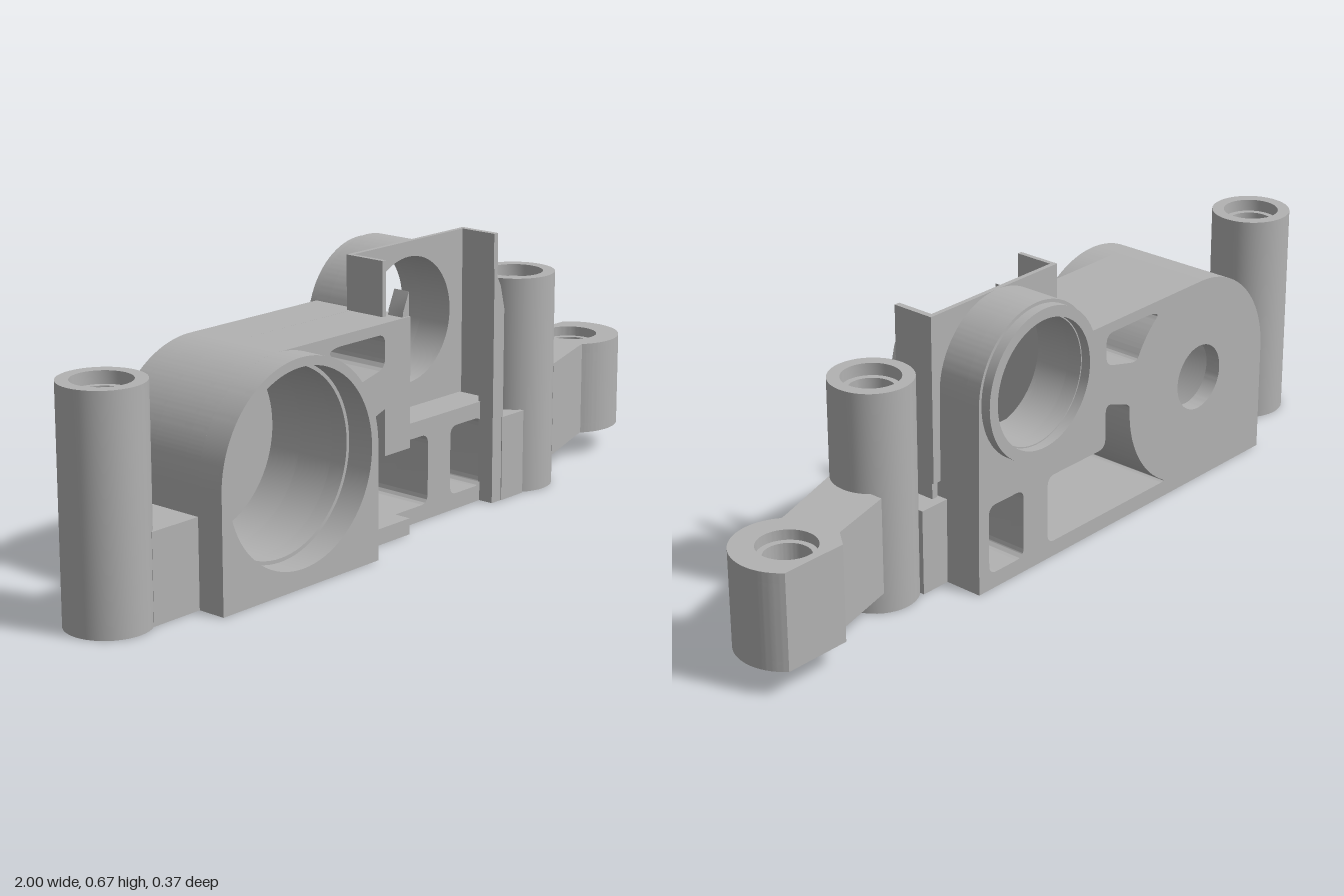
import * as THREE from 'three';
import { toCreasedNormals } from 'three/addons/utils/BufferGeometryUtils.js';

export function createModel() {
  const model = new THREE.Group();
  model.name = 'bracket';
  const grey = new THREE.MeshStandardMaterial({ color: 0xb2b2b2 });
  grey.name = 'grey plastic';

  const add = (name, geometry) => {
    const mesh = new THREE.Mesh(toCreasedNormals(geometry, 0.5), grey);
    mesh.name = name;
    model.add(mesh);
    return mesh;
  };
  const box = (name, x0, x1, y0, y1, z0, z1) => {
    const g = new THREE.BoxGeometry(x1 - x0, y1 - y0, z1 - z0);
    g.translate((x0 + x1) / 2, (y0 + y1) / 2, (z0 + z1) / 2);
    return add(name, g);
  };
  const extrude = (shape, depth) =>
    new THREE.ExtrudeGeometry(shape, { depth, bevelEnabled: false, curveSegments: 40 });
  const slab = (name, shape, holes, z0, z1) => {
    shape.holes = holes;
    return add(name, extrude(shape, z1 - z0).translate(0, 0, z0));
  };
  const circle = (x, y, r) => new THREE.Shape().absarc(x, y, r, 0, Math.PI * 2, false);
  const polygon = (pts) => new THREE.Shape(pts.map((p) => new THREE.Vector2(p[0], p[1])));

  // Polygon with softened corners, for the windows
  const rounded = (pts, radius = 0.025) => {
    const v = pts.map((p) => new THREE.Vector2(p[0], p[1]));
    const path = new THREE.Shape();
    v.forEach((p, i) => {
      const toward = (q) => {
        const d = q.clone().sub(p);
        return p.clone().addScaledVector(d.clone().normalize(), Math.min(radius, d.length() * 0.4));
      };
      const a = toward(v[(i + v.length - 1) % v.length]);
      const b = toward(v[(i + 1) % v.length]);
      if (i) path.lineTo(a.x, a.y);
      else path.moveTo(a.x, a.y);
      path.quadraticCurveTo(p.x, p.y, b.x, b.y);
    });
    path.closePath();
    return path;
  };

  // Large barrel and small ring centres
  const BX = -0.45, BY = 0.28, BR = 0.256;
  const RX = 0.16, RY = 0.475, RR = 0.195;
  const barrelArc = (a0, a1, r, n = 10) => Array.from({ length: n + 1 }, (_, i) => {
    const a = a0 + ((a1 - a0) * i) / n;
    return [BX + r * Math.cos(a), BY + r * Math.sin(a)];
  });

  // Windows through the body
  const lowerArc = barrelArc(0.07, -1.095, 0.27);
  const topWindow = () => rounded([...barrelArc(0.93, 0.46, 0.275, 4), [-0.09, 0.43], [-0.09, 0.51], [-0.26, 0.51]]);
  const lowerWindow = () => rounded([...lowerArc, [0.12, 0.04], [0.12, 0.215], [-0.09, 0.215], [-0.09, 0.33]]);
  const sideWindow = () => rounded([[0.205, 0.04], [0.325, 0.04], [0.325, 0.215], [0.205, 0.215]]);
  const windows = () => [topWindow(), lowerWindow(), sideWindow()];
  const ringBore = () => circle(RX, RY, 0.157);

  // Close an outline over the rounded barrel shoulder
  const shoulder = (shape) => {
    shape.lineTo(BX, BY + BR);
    shape.absarc(BX, BY, BR, Math.PI / 2, Math.PI, false);
    shape.lineTo(BX - BR, 0);
    return shape;
  };
  const rearOutline = () => {
    const s = new THREE.Shape().moveTo(BX - BR, 0).lineTo(0.36, 0).lineTo(RX + RR, RY);
    s.absarc(RX, RY, RR, 0, Math.PI - 0.32, false);
    return shoulder(s);
  };
  const middleOutline = () => shoulder(new THREE.Shape().moveTo(BX - BR, 0)
    .lineTo(0.36, 0).lineTo(0.36, 0.255).lineTo(0, 0.255).lineTo(0, BY + BR));
  const frontOutline = () => {
    const s = new THREE.Shape().moveTo(BX - BR, 0).lineTo(0, 0).lineTo(0, 0.04);
    [...lowerArc].reverse().forEach((p) => s.lineTo(p[0], p[1]));
    s.lineTo(-0.09, 0.33).lineTo(-0.09, 0.215).lineTo(0, 0.215).lineTo(0, BY + BR);
    return shoulder(s);
  };

  // Body, in layers from back to front
  slab('bodyBackWall', rearOutline(), [circle(BX, BY, 0.084), ringBore(), ...windows()], -0.16, -0.12);
  slab('bodyRear', rearOutline(), [circle(BX, BY, 0.225), ringBore(), ...windows()], -0.12, -0.03);
  slab('bodyMiddle', middleOutline(), [circle(BX, BY, 0.225), ...windows()], -0.03, 0.07);
  slab('bodyFront', frontOutline(), [circle(BX, BY, 0.225), topWindow()], 0.07, 0.115);

  // Square-footed barrel collar
  const collar = new THREE.Shape().moveTo(BX - BR, 0).lineTo(BX + BR, 0).lineTo(BX + BR, BY);
  collar.absarc(BX, BY, BR, 0, Math.PI, false);
  slab('barrelCollar', collar, [circle(BX, BY, 0.234)], 0.115, 0.185);

  // Small ring: rear lip, channel plate and side wings
  slab('ringLip', circle(RX, RY, 0.187), [circle(RX, RY, 0.16)], -0.185, -0.16);
  slab('channelPlate', polygon([[-0.05, 0.255], [0.38, 0.255], [0.38, 0.67], [-0.05, 0.67]]),
    [ringBore()], -0.04, -0.028);
  box('channelWing', -0.05, -0.038, 0.255, 0.67, -0.035, 0.072);
  box('channelWing', 0.365, 0.38, 0.215, 0.67, -0.035, 0.072);

  // Pointed guide ribs
  slab('guideRib', polygon([[0.32, 0], [0.36, 0], [0.36, 0.49], [0.345, 0.55], [0.32, 0.595]]), [], 0.065, 0.11);
  slab('guideRib', polygon([[-0.03, 0.22], [0, 0.22], [0, 0.595], [-0.02, 0.55], [-0.03, 0.49]]), [], 0.065, 0.11);

  // Hollow screw posts with counterbores, and their webs
  const H = 0.55;
  const profile = [[0.055, 0.03], [0.07, 0.03], [0.07, 0], [0.1, 0], [0.1, H], [0.07, H],
    [0.07, H - 0.03], [0.055, H - 0.03], [0.055, 0.03]].map((p) => new THREE.Vector2(p[0], p[1]));
  for (const x of [-0.9, 0.505]) {
    add('screwPost', new THREE.LatheGeometry(profile, 40).toNonIndexed()).position.set(x, 0, 0.028);
  }
  box('postWeb', -0.845, -0.7, 0, 0.215, -0.06, 0.112);
  box('postWeb', 0.355, 0.44, 0, 0.215, -0.06, 0.112);

  // Side arm with a screw eye; shape y runs towards the back
  const armLayer = (holeRadius, y0, y1) => {
    const s = new THREE.Shape().moveTo(0.58, -0.097).lineTo(0.775, -0.033);
    s.absarc(0.872, 0.07, 0.127, -2.25, Math.PI / 4, false);
    s.lineTo(0.79, 0.16).lineTo(0.755, 0.115).lineTo(0.58, 0.07);
    s.holes = [circle(0.87, 0.07, holeRadius)];
    add('sideArm', extrude(s, y1 - y0).rotateX(-Math.PI / 2).translate(0, y0, 0));
  };
  armLayer(0.07, 0.065, 0.09);
  armLayer(0.055, 0.09, 0.28);
  armLayer(0.07, 0.28, 0.305);

  return model;
}
